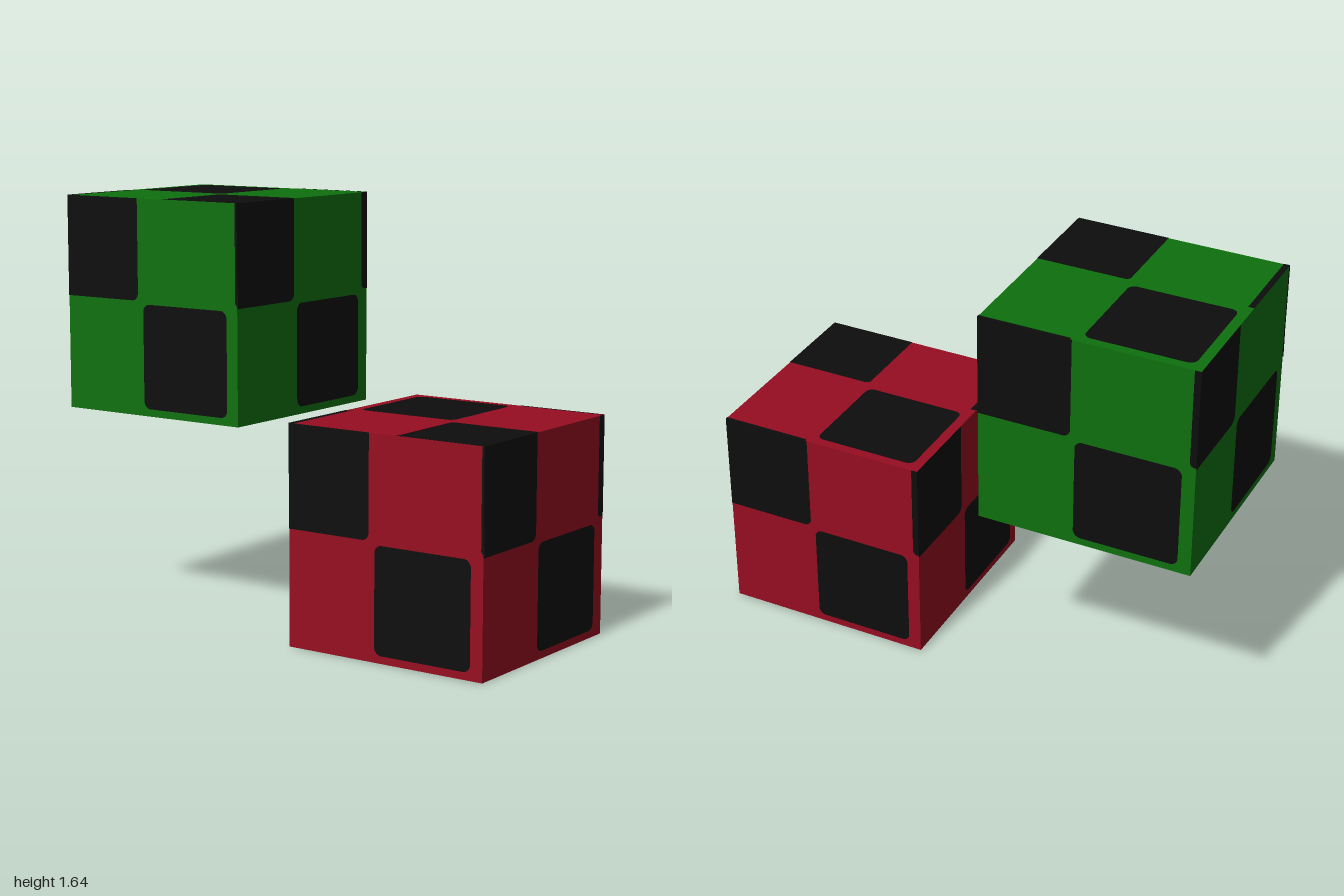
import * as THREE from 'three';

const S = 0.85, H = S / 2, LIFT = 0.001;

const makeMat = (name, color) => {
  const m = new THREE.MeshStandardMaterial({ color });
  m.name = name;
  return m;
};

// Rectangle measured from the face's lower left corner; cuts trims corners [bl, br, tr, tl]
function patch(x0, y0, x1, y1, cuts = [0, 0, 0, 0]) {
  const [a, b, c, d] = cuts;
  const s = new THREE.Shape();
  s.moveTo(x0 - H + a, y0 - H);
  s.lineTo(x1 - H - b, y0 - H);
  s.quadraticCurveTo(x1 - H - b * 0.2, y0 - H + b * 0.2, x1 - H, y0 - H + b);
  s.lineTo(x1 - H, y1 - H - c);
  s.quadraticCurveTo(x1 - H - c * 0.2, y1 - H - c * 0.2, x1 - H - c, y1 - H);
  s.lineTo(x0 - H + d, y1 - H);
  s.quadraticCurveTo(x0 - H + d * 0.2, y1 - H - d * 0.2, x0 - H, y1 - H - d);
  s.lineTo(x0 - H, y0 - H + a);
  s.quadraticCurveTo(x0 - H + a * 0.2, y0 - H + a * 0.2, x0 - H + a, y0 - H);
  return s;
}

const R = 0.025;
const ROUND = [R, R, R, R];

// Upright faces: corner block, rounded square and a sliver at the right edge
const sidePattern = (block, shift, strip) => [
  patch(0, 0.452, block, S, [0, R, 0, 0]),
  patch(0.376 + shift, 0.03, 0.788 + shift, 0.44, ROUND),
  patch(S - strip, 0.46, S, S, [R * 0.6, 0, 0, 0]),
];

// Top and bottom: slivers on two edges
const capPattern = () => [
  patch(0, 0, 0.365, 0.37, [0, 0, R * 0.6, 0]),
  patch(0.4, 0.39, 0.812, 0.81, ROUND),
  patch(0, S - 0.024, 0.36, S),
  patch(S - 0.011, 0, S, 0.36),
];

const Q = Math.PI / 2;
const FACES = [
  ['front', [0, 0, 0], sidePattern(0.357, 0, 0.037)],
  ['left', [0, Q, 0], sidePattern(0.367, 0.01, 0.025)],
  ['back', [0, 2 * Q, 0], sidePattern(0.36, 0.01, 0.01)],
  ['right', [0, -Q, 0], sidePattern(0.36, 0.01, 0.01)],
  ['top', [-Q, 0, 0], capPattern()],
  ['bottom', [Q, 0, 2 * Q], capPattern()],
];

function checkeredCube(name, bodyMat, patchMat) {
  const cube = new THREE.Group();
  cube.name = name;
  const side = S - 2 * LIFT;
  const body = new THREE.Mesh(new THREE.BoxGeometry(side, side, side), bodyMat);
  body.name = name + 'Body';
  cube.add(body);
  // Painted patches on all six faces
  for (const [label, rotation, shapes] of FACES) {
    const geo = new THREE.ShapeGeometry(shapes, 4).translate(0, 0, H);
    const mesh = new THREE.Mesh(geo, patchMat);
    mesh.name = label + 'Patches';
    mesh.rotation.set(...rotation);
    cube.add(mesh);
  }
  return cube;
}

export function createModel() {
  const model = new THREE.Group();
  model.name = 'checkeredCubes';
  const black = makeMat('black', 0x0d0d0d);
  const red = checkeredCube('redCube', makeMat('red', 0x960d20), black);
  red.position.set(-0.04, H, 1 - H);
  const green = checkeredCube('greenCube', makeMat('green', 0x0e700e), black);
  green.position.set(0.04, 0.79 + H, H - 1);
  model.add(red, green);
  return model;
}
